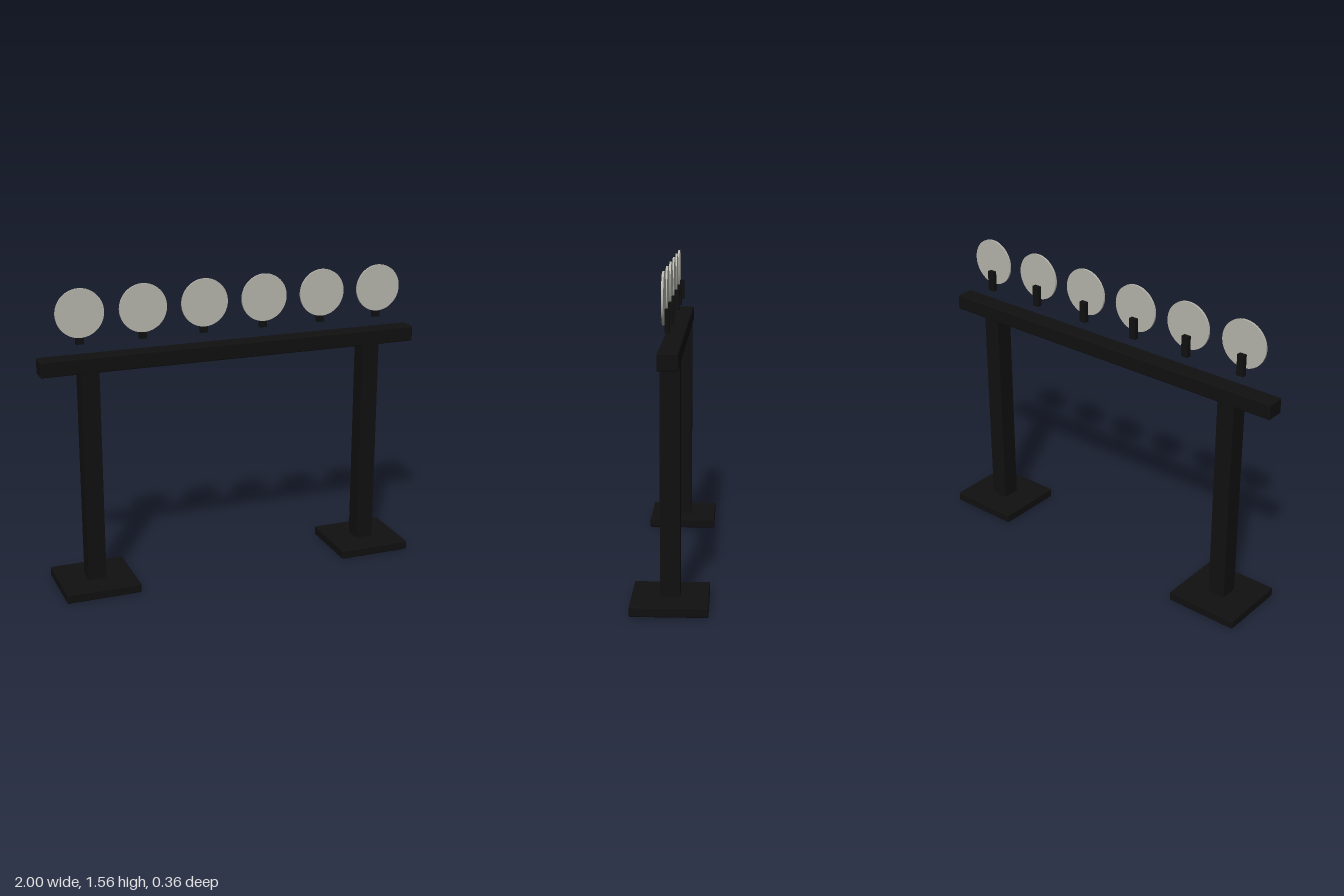
import * as THREE from 'three';
import { RoundedBoxGeometry } from 'three/addons/geometries/RoundedBoxGeometry.js';

export function createModel() {
  const group = new THREE.Group();
  const black = new THREE.MeshStandardMaterial({ color: 0x101010 });
  black.name = 'black steel';
  const grey = new THREE.MeshStandardMaterial({ color: 0xb6b6ad });
  grey.name = 'target grey';

  function add(name, geometry, material, x, y, z) {
    const mesh = new THREE.Mesh(geometry, material);
    mesh.name = name;
    mesh.position.set(x, y, z);
    group.add(mesh);
  }

  // Top beam with slightly eased edges
  add('beam', new RoundedBoxGeometry(2, 0.08, 0.096, 2, 0.007), black, 0, 1.18, 0);

  // Two posts on square foot plates
  const post = new THREE.BoxGeometry(0.093, 1.12, 0.094);
  const foot = new RoundedBoxGeometry(0.386, 0.048, 0.364, 2, 0.007);
  for (const [label, side] of [['left', 1], ['right', -1]]) {
    add(label + 'Post', post, black, side * 0.756, 0.6, 0);
    add(label + 'Foot', foot, black, side * 0.756, 0.024, 0);
  }

  // Row of six round plates, each with a bracket behind it
  const plate = new THREE.CylinderGeometry(0.121, 0.121, 0.01, 64).rotateX(Math.PI / 2);
  const bracket = new THREE.BoxGeometry(0.038, 0.108, 0.024);
  for (let i = 0; i < 6; i++) {
    const x = (i - 2.5) * 0.3175;
    add('targetPlate' + (i + 1), plate, grey, x, 1.44, 0.028);
    add('plateBracket' + (i + 1), bracket, black, x, 1.338, 0.012);
  }

  return group;
}
